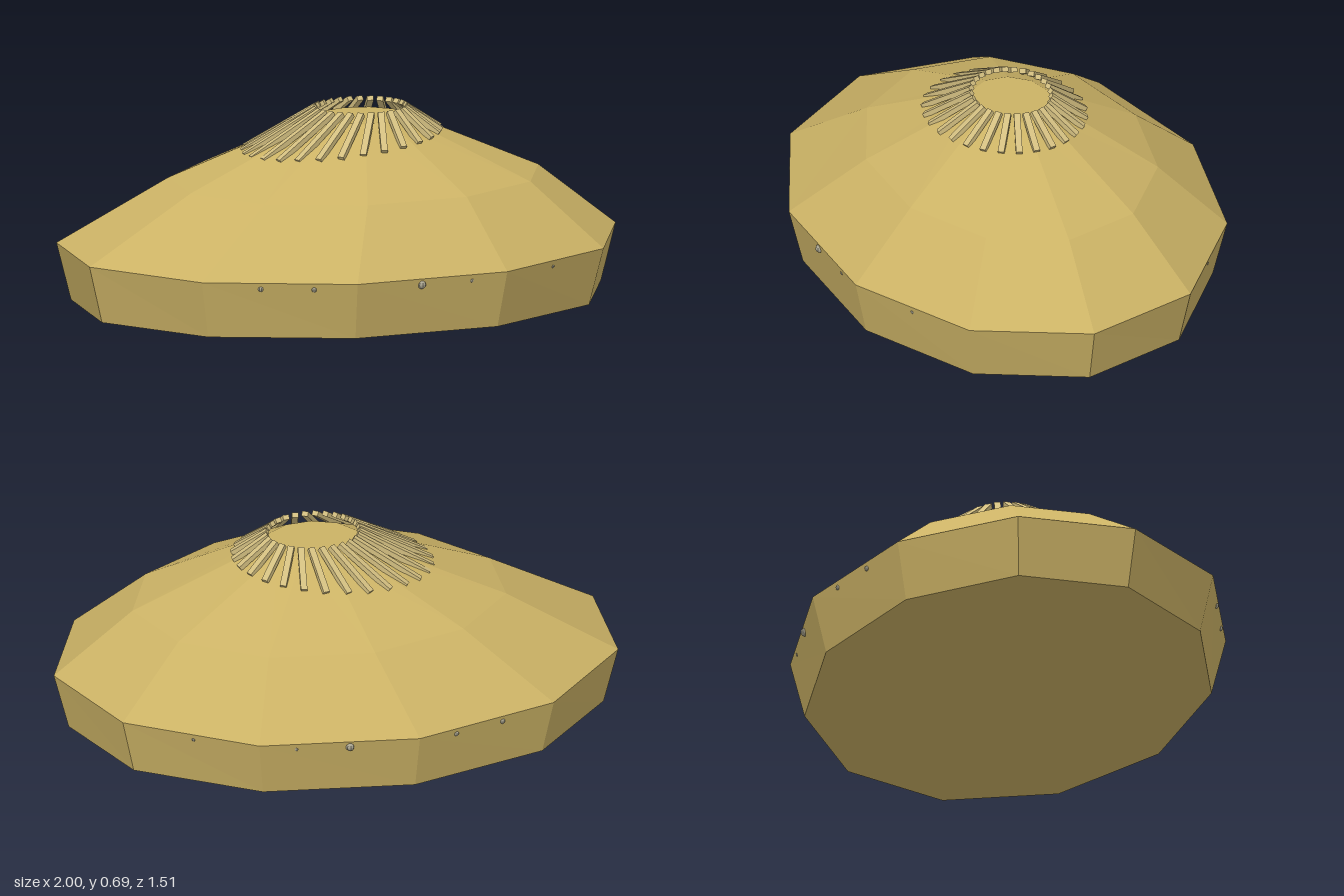
import * as THREE from 'three';

const SIDES = 11;
// Rings from the ground up: centre x, x radius, z radius, height
const RINGS = [
  [-0.022, 0.968, 0.712, 0],
  [-0.021, 1.021, 0.763, 0.207],
  [0.039, 0.676, 0.508, 0.435],
  [0.06, 0.168, 0.145, 0.65],
];

function ringPoint([cx, rx, rz, y], angle) {
  return new THREE.Vector3(cx + rx * Math.cos(angle), y, rz * Math.sin(angle));
}

function corner(ring, i) {
  return ringPoint(RINGS[ring], ((i % SIDES) / SIDES) * Math.PI * 2);
}

// Faceted band between two neighbouring rings
function band(ring) {
  const pts = [];
  for (let i = 0; i < SIDES; i++) {
    const a = corner(ring, i), b = corner(ring, i + 1);
    const c = corner(ring + 1, i + 1), d = corner(ring + 1, i);
    pts.push(a, d, c, a, c, b);
  }
  return flatGeometry(pts);
}

// Flat polygon closing a ring, facing up or down
function cap(ring, up) {
  const pts = [];
  const centre = new THREE.Vector3(RINGS[ring][0], RINGS[ring][3], 0);
  for (let i = 0; i < SIDES; i++) {
    const a = corner(ring, i), b = corner(ring, i + 1);
    pts.push(centre, up ? b : a, up ? a : b);
  }
  return flatGeometry(pts);
}

function flatGeometry(pts) {
  const geometry = new THREE.BufferGeometry().setFromPoints(pts);
  geometry.computeVertexNormals();
  return geometry;
}

export function createModel() {
  const group = new THREE.Group();
  const gold = new THREE.MeshStandardMaterial({ color: 0xcbb265, flatShading: true });
  gold.name = 'sand gold';
  const pale = new THREE.MeshStandardMaterial({ color: 0xd2be80, flatShading: true });
  pale.name = 'pale sand';
  const grey = new THREE.MeshStandardMaterial({ color: 0xaaa590, flatShading: true });
  grey.name = 'warm grey';

  function add(parent, name, geometry, material) {
    const mesh = new THREE.Mesh(geometry, material);
    mesh.name = name;
    parent.add(mesh);
    return mesh;
  }

  // Shell
  add(group, 'baseWall', band(0), gold);
  add(group, 'lowerSlope', band(1), gold);
  add(group, 'upperSlope', band(2), gold);
  add(group, 'floor', cap(0, false), gold);
  add(group, 'summit', cap(3, true), gold);

  // Radiating ribs around the summit, leaning down into the slope
  const ribs = new THREE.Group();
  ribs.name = 'summitRibs';
  group.add(ribs);
  const COUNT = 28;
  for (let i = 0; i < COUNT; i++) {
    const angle = (i / COUNT) * Math.PI * 2;
    const top = ringPoint([0.06, 0.163, 0.138, 0.683], angle);
    const foot = ringPoint([-0.01, 0.36, 0.28, 0.565 + 0.033 * Math.cos(angle)], angle);
    const rib = add(ribs, 'rib', new THREE.BoxGeometry(0.023, 0.018, top.distanceTo(foot)), pale);
    rib.position.copy(top).lerp(foot, 0.5);
    rib.lookAt(foot);
  }

  // Small round lamps under the rim, mirrored front to back: x, z, radius
  const lamps = new THREE.Group();
  lamps.name = 'rimLamps';
  group.add(lamps);
  const LAMPS = [
    [-0.49, 0.638, 0.01], [-0.31, 0.698, 0.01], [0.08, 0.721, 0.016],
    [0.27, 0.699, 0.008], [0.61, 0.549, 0.008],
  ];
  for (const [x, z, r] of LAMPS) {
    for (const side of [1, -1]) {
      add(lamps, 'lamp', new THREE.SphereGeometry(r, 8, 6), grey).position.set(x, 0.185, z * side);
    }
  }
  return group;
}
